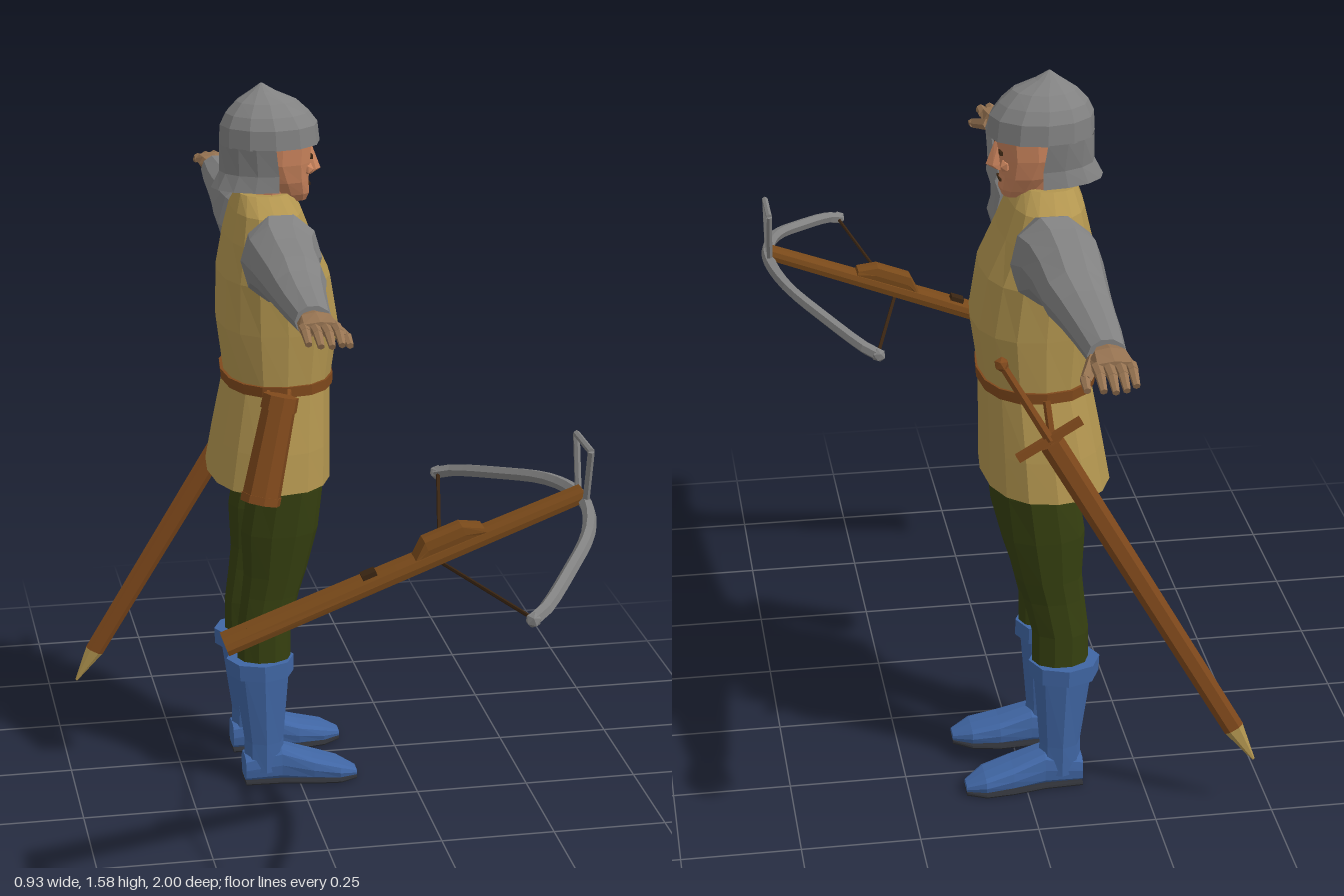
import * as THREE from 'three';

const mat = (name, color, side = THREE.FrontSide) => {
  const m = new THREE.MeshStandardMaterial({ color, side });
  m.name = name;
  return m;
};

// Flat facets: split the vertices, then recompute normals
function flat(geo) {
  const g = geo.index ? geo.toNonIndexed() : geo;
  g.computeVertexNormals();
  return g;
}

// Skin through oval rings [position, min, max, centre, half]; axis is the direction of travel.
// y: min/max on x, centre/half on z. z: min/max on x, centre/half on y. x: min/max on y, centre/half on z.
function loft(rings, { n = 10, axis = 'y', pow = 1, arc = null, caps = true } = {}) {
  const pos = [], idx = [];
  const put = (p, u, v) => pos.push(...(axis === 'y' ? [u, p, v] : axis === 'z' ? [u, v, p] : [p, u, v]));
  const soft = (v) => Math.sign(v) * Math.abs(v) ** pow;
  const [t0, t1] = arc || [0, Math.PI * 2];
  const w = n + 1;
  for (const [p, lo, hi, c, h] of rings) {
    for (let i = 0; i <= n; i++) {
      const t = t0 + ((t1 - t0) * i) / n;
      put(p, (lo + hi) / 2 + ((hi - lo) / 2) * soft(Math.cos(t)), c + h * soft(Math.sin(t)));
    }
  }
  const flip = (axis !== 'y') !== (rings[rings.length - 1][0] < rings[0][0]);
  const tri = (a, b, c) => (flip ? idx.push(a, c, b) : idx.push(a, b, c));
  for (let j = 0; j < rings.length - 1; j++) {
    for (let i = 0; i < n; i++) {
      const a = j * w + i, b = a + w;
      tri(a, b, b + 1);
      tri(a, b + 1, a + 1);
    }
  }
  if (caps && !arc) {
    [0, rings.length - 1].forEach((j, end) => {
      const [p, lo, hi, c] = rings[j], m = pos.length / 3;
      put(p, (lo + hi) / 2, c);
      for (let i = 0; i < n; i++) end ? tri(m, j * w + i + 1, j * w + i) : tri(m, j * w + i, j * w + i + 1);
    });
  }
  const g = new THREE.BufferGeometry();
  g.setAttribute('position', new THREE.Float32BufferAttribute(pos, 3));
  g.setIndex(idx);
  return flat(g);
}

export function createModel() {
  const steel = mat('steel', 0x828282, THREE.DoubleSide);
  const cloth = mat('tunic cloth', 0xb2954f, THREE.DoubleSide);
  const green = mat('green wool', 0x364010);
  const blue = mat('blue boot leather', 0x4066a4);
  const sole = mat('dark sole', 0x2e3036);
  const skin = mat('face skin', 0xc9835c);
  const glove = mat('hand skin', 0x977452);
  const leather = mat('brown leather', 0x80491c);
  const wood = mat('stock wood', 0x7a4a1a);
  const dark = mat('dark cord', 0x3a2512);

  const model = new THREE.Group();
  model.name = 'crossbowman';
  const body = new THREE.Group();
  body.name = 'figure';
  body.position.z = -0.22;
  model.add(body);

  const add = (parent, name, geo, material, p = [0, 0, 0]) => {
    const m = new THREE.Mesh(flat(geo), material);
    m.name = name;
    m.position.set(...p);
    parent.add(m);
    return m;
  };
  const box = (x, y, z) => new THREE.BoxGeometry(x, y, z);
  // Tapered rod between two points
  const rod = (parent, name, material, a, b, ra, rb = ra, n = 6) => {
    const A = new THREE.Vector3(...a), B = new THREE.Vector3(...b), d = B.clone().sub(A);
    const m = add(parent, name, new THREE.CylinderGeometry(rb, ra, d.length(), n), material);
    m.position.copy(A).addScaledVector(d, 0.5);
    m.quaternion.setFromUnitVectors(new THREE.Vector3(0, 1, 0), d.normalize());
    return m;
  };

  // Tunic and belt
  add(body, 'tunic', loft([
    [0.715, -0.185, 0.082, 0, 0.195], [0.80, -0.17, 0.082, 0, 0.182], [0.93, -0.145, 0.083, 0, 0.155],
    [1.06, -0.162, 0.102, 0, 0.163], [1.17, -0.158, 0.083, 0, 0.168], [1.25, -0.142, 0.045, 0, 0.16],
    [1.31, -0.128, 0.022, 0, 0.13], [1.345, -0.115, 0.0, 0, 0.07],
  ], { n: 16, pow: 0.85 }), cloth);
  add(body, 'belt', loft([[0.925, -0.152, 0.089, 0, 0.161], [0.948, -0.154, 0.09, 0, 0.162]], { n: 16, pow: 0.85 }), leather);

  // Head
  add(body, 'neck', loft([[1.31, -0.1, 0, 0, 0.056], [1.42, -0.09, 0.01, 0, 0.056]], { n: 8 }), skin);
  add(body, 'face', loft([
    [1.323, -0.02, 0.036, 0, 0.03], [1.34, -0.05, 0.043, 0, 0.047], [1.37, -0.07, 0.041, 0, 0.063],
    [1.41, -0.1, 0.045, 0, 0.073], [1.47, -0.1, 0.05, 0, 0.075],
  ], { n: 12, pow: 0.8 }), skin);
  add(body, 'nose', loft([
    [1.377, 0.02, 0.052, 0, 0.015], [1.387, 0.02, 0.068, 0, 0.015], [1.435, 0.02, 0.05, 0, 0.007],
  ], { n: 6 }), skin);
  add(body, 'mouth', box(0.006, 0.005, 0.036), dark, [0.04, 1.357, 0]);
  for (const s of [1, -1]) {
    add(body, 'eye', box(0.006, 0.008, 0.02), dark, [0.042, 1.42, 0.029 * s]);
    add(body, 'cheek', new THREE.IcosahedronGeometry(0.014, 0), skin, [0.033, 1.395, 0.038 * s]);
  }

  // Helmet: pointed dome, and a flared guard around the back and sides
  add(body, 'helmetDome', loft([
    [1.448, -0.152, 0.066, 0, 0.09], [1.49, -0.15, 0.061, 0, 0.088], [1.515, -0.138, 0.042, 0, 0.075],
    [1.54, -0.115, 0.015, 0, 0.052], [1.56, -0.085, -0.03, 0, 0.024], [1.577, -0.062, -0.058, 0, 0.002],
  ], { n: 12 }), steel);
  add(body, 'neckGuard', loft([
    [1.355, -0.17, 0.1, 0, 0.082], [1.39, -0.152, 0.082, 0, 0.08], [1.45, -0.152, 0.066, 0, 0.09],
  ], { n: 8, arc: [Math.PI / 2, Math.PI * 1.5] }), steel);

  for (const s of [1, -1]) {
    // Arm: mail sleeve, palm, curled fingers, thumb
    const sleeve = [
      [0.11, -0.105, 0.035, 1.215, 0.1], [0.155, -0.132, 0.043, 1.232, 0.1], [0.2, -0.135, 0.028, 1.243, 0.08],
      [0.27, -0.128, 0.018, 1.243, 0.068], [0.36, -0.12, 0.014, 1.24, 0.058], [0.43, -0.115, 0, 1.238, 0.048],
      [0.52, -0.11, -0.012, 1.238, 0.04], [0.628, -0.1, -0.025, 1.237, 0.032],
    ];
    const along = (rings) => rings.map(([p, ...r]) => [p * s, ...r]);
    add(body, 'sleeve', loft(along(sleeve), { axis: 'z', n: 10 }), steel);
    add(body, 'palm', loft(along([
      [0.62, -0.085, -0.04, 1.238, 0.02], [0.655, -0.1, -0.025, 1.243, 0.021], [0.705, -0.105, -0.02, 1.243, 0.015],
    ]), { axis: 'z', n: 8, pow: 0.8 }), glove);
    for (let i = 0; i < 4; i++) {
      const x = -0.094 + i * 0.021, reach = [0.745, 0.762, 0.768, 0.76][i];
      rod(body, 'finger', glove, [x, 1.245, 0.695 * s], [x, 1.243, (reach - 0.025) * s], 0.011, 0.01);
      rod(body, 'fingertip', glove, [x, 1.244, (reach - 0.03) * s], [x, 1.228, (reach + 0.008) * s], 0.01, 0.007);
    }
    rod(body, 'thumb', glove, [-0.035, 1.237, 0.645 * s], [-0.01, 1.222, 0.7 * s], 0.014, 0.011);
    rod(body, 'thumbTip', glove, [-0.01, 1.223, 0.695 * s], [-0.008, 1.214, 0.73 * s], 0.011, 0.007);

    // Leg and boot
    const z = 0.09 * s;
    add(body, 'leg', loft([
      [0.27, -0.135, -0.015, z, 0.045], [0.37, -0.135, -0.015, z, 0.047], [0.45, -0.125, 0.004, z, 0.048],
      [0.5, -0.12, 0.02, z, 0.052], [0.6, -0.125, 0.046, z, 0.062], [0.7, -0.11, 0.057, z, 0.068], [0.79, -0.11, 0.055, z, 0.07],
    ], { n: 10 }), green);
    add(body, 'bootShaft', loft([
      [0.03, -0.122, -0.03, z, 0.04], [0.1, -0.12, -0.032, z, 0.042], [0.275, -0.145, -0.018, z, 0.054],
    ], { n: 8 }), blue);
    add(body, 'bootCuff', loft([[0.263, -0.158, -0.008, z, 0.066], [0.3, -0.16, -0.008, z, 0.067]], { n: 8 }), blue);
    const foot = (hi, grow) => [
      [-0.122, 0.066, 0.09, 0.034], [-0.04, 0.085, 0.09, 0.038], [0.03, 0.06, 0.095, 0.047],
      [0.09, 0.042, 0.103, 0.044], [0.13, 0.022, 0.108, 0.02],
    ].map(([p, top, c, h]) => [p, hi === null ? 0.007 : 0, hi === null ? top : hi, c * s, h + grow]);
    add(body, 'foot', loft(foot(null, 0), { axis: 'x', n: 12, pow: 0.6 }), blue);
    add(body, 'sole', loft(foot(0.009, 0.001), { axis: 'x', n: 12, pow: 0.35 }), sole);
  }

  // Quiver on the right hip, with bands and hanging straps
  const q = [[-0.107, 0.73, 0.03], [-0.057, 0.945, -0.004]];
  const at = (t) => q[0].map((v, i) => v + (q[1][i] - v) * t);
  rod(model, 'quiver', leather, ...q, 0.042, 0.036, 8);
  rod(model, 'quiverLid', leather, at(0.88), at(1.02), 0.04, 0.039, 8);
  rod(model, 'quiverBase', leather, at(-0.03), at(0.05), 0.044, 0.044, 8);
  for (const x of [-0.075, -0.03]) rod(model, 'quiverStrap', leather, [x, 0.94, -0.062], [x - 0.015, 0.9, 0], 0.007);

  // Sheathed sword on the left hip, built along its own axis from tip upwards
  const tip = new THREE.Vector3(-0.46, 0.12, -0.485), dir = new THREE.Vector3(0.07, 1.04, -0.4).sub(tip);
  const len = dir.length(), sword = new THREE.Group();
  sword.name = 'sword';
  sword.position.copy(tip);
  sword.quaternion.setFromUnitVectors(new THREE.Vector3(0, 1, 0), dir.normalize());
  model.add(sword);
  add(sword, 'chape', loft([[0, -0.003, 0.003, 0, 0.002], [0.085, -0.021, 0.021, 0, 0.009]], { n: 6 }), cloth);
  add(sword, 'scabbard', loft([[0.085, -0.022, 0.022, 0, 0.009], [0.85, -0.026, 0.026, 0, 0.011]], { n: 6 }), leather);
  add(sword, 'crossguard', box(0.15, 0.016, 0.016), leather, [0, 0.862, 0]);
  rod(sword, 'grip', leather, [0, 0.86, 0], [0, len - 0.02, 0], 0.011, 0.009);
  add(sword, 'pommel', new THREE.IcosahedronGeometry(0.016, 0), leather, [0, len - 0.012, 0]);
  rod(model, 'swordHanger', leather, [-0.03, 0.935, -0.385], [-0.04, 0.83, -0.418], 0.008);

  // Crossbow: local x runs along the stock, origin at its front end
  const bow = new THREE.Group();
  bow.name = 'crossbow';
  bow.position.set(0.45, 0.905, 0.575);
  bow.rotation.z = 0.36;
  model.add(bow);
  add(bow, 'stock', loft([
    [-0.77, -0.013, 0.013, 0, 0.039], [-0.4, -0.013, 0.015, 0, 0.031], [0, -0.012, 0.012, 0, 0.025],
  ], { axis: 'x', n: 8, pow: 0.3 }), wood);
  add(bow, 'lockBlock', loft([
    [-0.36, 0.005, 0.014, 0, 0.024], [-0.33, 0.005, 0.044, 0, 0.024], [-0.25, 0.005, 0.044, 0, 0.024], [-0.21, 0.005, 0.022, 0, 0.024],
  ], { axis: 'x', n: 8, pow: 0.3 }), wood);
  add(bow, 'releaseNut', box(0.03, 0.012, 0.026), dark, [-0.455, 0.018, 0]);
  const half = [[-0.225, -0.415], [-0.2, -0.4], [-0.115, -0.285], [-0.035, -0.15], [-0.005, 0]];
  const path = [...half, ...half.slice(0, 4).reverse().map(([x, z]) => [x, -z])];
  const curve = new THREE.CatmullRomCurve3(path.map(([x, z]) => new THREE.Vector3(x, -0.012, z)));
  add(bow, 'bowLimbs', new THREE.TubeGeometry(curve, 24, 0.014, 6), steel);
  for (const s of [1, -1]) {
    add(bow, 'bowTip', new THREE.IcosahedronGeometry(0.016, 0), steel, [-0.222, -0.012, 0.414 * s]);
    rod(bow, 'bowString', dark, [-0.22, -0.013, 0.412 * s], [-0.315, -0.016, 0], 0.004);
  }
  // Upright foot stirrup
  const stirrup = [[0.9, -0.03], [1.01, -0.056], [1.01, 0.056], [0.9, 0.03]];
  for (let i = 0; i < 4; i++) {
    const [a, b] = [stirrup[i], stirrup[(i + 1) % 4]];
    rod(model, 'stirrup', steel, [0.448, a[0], 0.575 + a[1]], [0.448, b[0], 0.575 + b[1]], 0.007);
  }
  return model;
}
